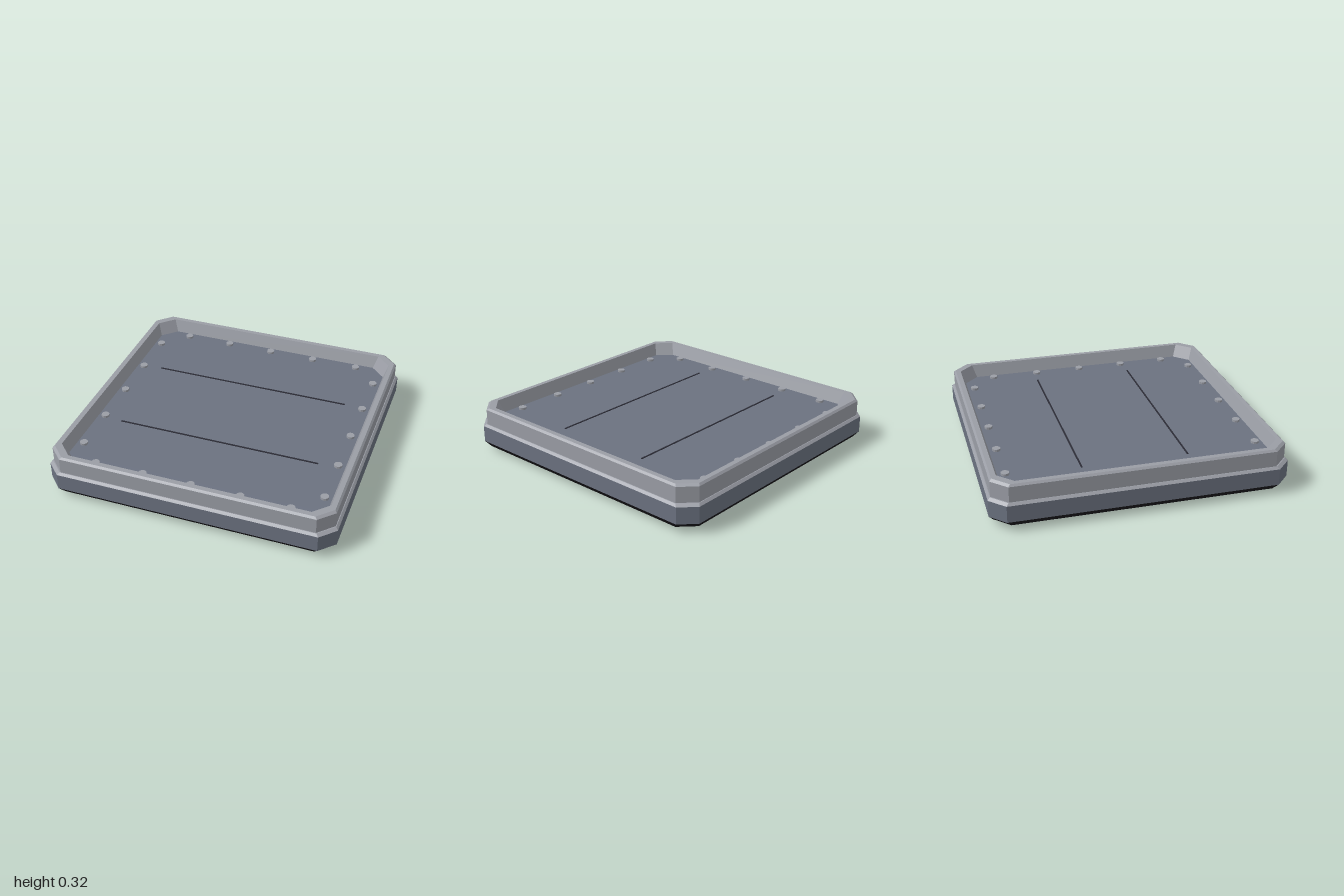
import * as THREE from 'three';

const CORNER = 0.1; // size of the cut at each corner

// Square outline with cut corners, anticlockwise seen from above
function outline(half, y) {
  const a = half, b = half - CORNER;
  return [[a, b], [a, -b], [b, -a], [-b, -a], [-a, -b], [-a, b], [-b, a], [b, a]]
    .map(([x, z]) => new THREE.Vector3(x, y, z));
}

// Skin a list of [half width, height] rings, with optional flat ends
function loft(profile, capStart, capEnd) {
  const rings = profile.map(([half, y]) => outline(half, y));
  const points = [];
  for (let r = 0; r < rings.length - 1; r++) {
    for (let i = 0; i < 8; i++) {
      const j = (i + 1) % 8;
      const a = rings[r][i], b = rings[r][j], c = rings[r + 1][j], d = rings[r + 1][i];
      points.push(a, b, c, a, c, d);
    }
  }
  const last = rings[rings.length - 1];
  for (let i = 1; i < 7; i++) {
    if (capStart) points.push(rings[0][0], rings[0][i + 1], rings[0][i]);
    if (capEnd) points.push(last[0], last[i], last[i + 1]);
  }
  const geometry = new THREE.BufferGeometry().setFromPoints(points);
  geometry.computeVertexNormals();
  return geometry;
}

function material(color) {
  return new THREE.MeshStandardMaterial({ color, flatShading: true });
}

export function createModel() {
  const model = new THREE.Group();
  model.name = 'tray';
  const slate = material(0x6b7280);
  const lightGrey = material(0x9a9da5);
  const black = material(0x1a191d);
  const dark = material(0x2c2c36);

  function add(name, geometry, mat, x = 0, y = 0, z = 0) {
    const mesh = new THREE.Mesh(geometry, mat);
    mesh.name = name;
    mesh.position.set(x, y, z);
    model.add(mesh);
  }

  // Bevelled underside, side band and sunken floor
  add('base', loft([[0.9, 0], [0.97, 0.03], [1, 0.07]], true, false), black);
  add('body', loft([[1, 0.07], [1, 0.185]], false, false), slate);
  const floorY = 0.23;
  add('floor', loft([[0.91, floorY - 0.02], [0.91, floorY]], false, true), slate);

  // Raised rim: ledge, outer wall, bevelled lip, sloping inner wall
  add('rim', loft([
    [1, 0.185], [0.985, 0.2], [0.98, 0.2], [0.98, 0.307],
    [0.967, 0.32], [0.933, 0.32], [0.903, floorY],
  ], false, false), lightGrey);

  // Floor seams
  for (const z of [-0.36, 0.36]) {
    add('seam', new THREE.BoxGeometry(1.44, 0.004, 0.011), dark, 0, floorY + 0.002, z);
  }

  // Rivets along all four edges
  const rivet = new THREE.CylinderGeometry(0.028, 0.028, 0.016, 12);
  for (const side of [-0.853, 0.853]) {
    for (let i = -2; i <= 2; i++) {
      add('rivet', rivet, lightGrey, i * 0.34, floorY + 0.008, side);
      add('rivet', rivet, lightGrey, side, floorY + 0.008, i * 0.34);
    }
  }
  return model;
}
